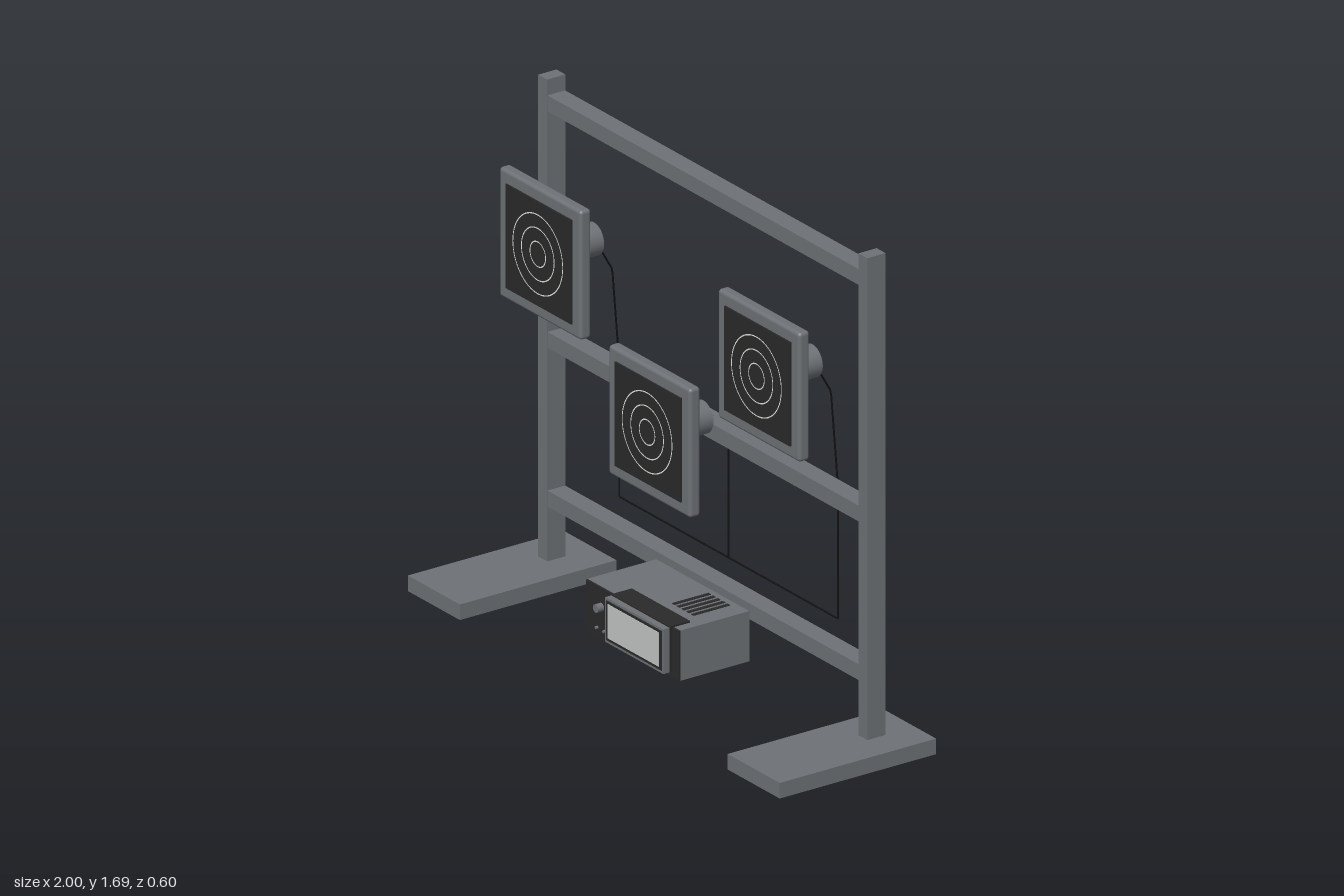
import * as THREE from 'three';
import { RoundedBoxGeometry } from 'three/addons/geometries/RoundedBoxGeometry.js';

const mat = (name, color) => {
  const m = new THREE.MeshStandardMaterial({ color });
  m.name = name;
  return m;
};

export function createModel() {
  const grey = mat('grey metal', 0x6e7276);
  const black = mat('black plastic', 0x2a2a2a);
  const cableBlack = mat('cable black', 0x111111);
  const light = mat('screen grey', 0xc2c4c4);
  const white = mat('ring white', 0xe4e4dc);

  const model = new THREE.Group();
  model.name = 'speakerStand';

  const add = (parent, name, geometry, material, x = 0, y = 0, z = 0) => {
    const mesh = new THREE.Mesh(geometry, material);
    mesh.name = name;
    mesh.position.set(x, y, z);
    parent.add(mesh);
    return mesh;
  };
  // box given by its limits on each axis
  const box = (parent, name, material, x0, x1, y0, y1, z0, z1) =>
    add(parent, name, new THREE.BoxGeometry(x1 - x0, y1 - y0, z1 - z0), material,
      (x0 + x1) / 2, (y0 + y1) / 2, (z0 + z1) / 2);
  // cylinder lying along z
  const rod = (parent, name, material, r, x, y, z0, z1) =>
    add(parent, name, new THREE.CylinderGeometry(r, r, z1 - z0, 32).rotateX(Math.PI / 2),
      material, x, y, (z0 + z1) / 2);

  // Frame: feet, posts and three cross rails
  const frame = new THREE.Group();
  frame.name = 'frame';
  model.add(frame);
  for (const s of [-1, 1]) {
    add(frame, 'foot', new THREE.BoxGeometry(0.28, 0.053, 0.6), grey, s * 0.86, 0.0265, 0);
    add(frame, 'post', new THREE.BoxGeometry(0.048, 1.64, 0.07), grey, s * 0.861, 0.873, -0.153);
  }
  for (const y of [0.267, 0.807, 1.612])
    add(frame, 'rail', new THREE.BoxGeometry(1.676, 0.054, 0.068), grey, 0, y, -0.153);

  // Flat square speakers with a stepped driver behind
  const busY = 0.337, busZ = -0.217;
  const tube = (name, pts) => {
    const path = new THREE.CurvePath();
    for (let i = 1; i < pts.length; i++)
      path.add(new THREE.LineCurve3(new THREE.Vector3(...pts[i - 1]), new THREE.Vector3(...pts[i])));
    add(model, name, new THREE.TubeGeometry(path, 48, 0.003, 6), cableBlack);
  };
  for (const [x, y, sag] of [[-0.588, 1.24, 0.45], [0, 0.842, 0.07], [0.588, 1.24, 0.45]]) {
    const speaker = new THREE.Group();
    speaker.name = 'speaker';
    speaker.position.set(x, y, 0);
    model.add(speaker);
    add(speaker, 'panelFrame', new RoundedBoxGeometry(0.44, 0.44, 0.042, 3, 0.012), grey, 0, 0, 0.067);
    box(speaker, 'grille', black, -0.177, 0.177, -0.177, 0.177, 0.086, 0.094);
    for (const r of [0.042, 0.088, 0.134])
      add(speaker, 'ring', new THREE.RingGeometry(r - 0.002, r + 0.002, 64), white, 0, 0, 0.0955);
    rod(speaker, 'driverCollar', black, 0.069, 0, 0, -0.04, 0.047);
    rod(speaker, 'driverBody', grey, 0.055, 0, 0, -0.12, -0.04);
    // Cable drooping from the driver to the shared run
    tube('cable', [[x, y, -0.12], [x, y - sag * 0.27, -0.19], [x, y - sag, busZ], [x, busY, busZ]]);
  }
  tube('cableRun', [[-0.588, busY, busZ], [0.588, busY, busZ]]);

  // Amplifier under the lowest rail
  const amp = new THREE.Group();
  amp.name = 'amplifier';
  model.add(amp);
  box(amp, 'ampBody', grey, -0.25, 0.25, 0.097, 0.268, -0.118, 0.145);
  box(amp, 'frontPlate', black, -0.249, 0.249, 0.098, 0.267, 0.145, 0.152);
  box(amp, 'screenHousing', black, -0.097, 0.216, 0.118, 0.274, 0.085, 0.164);
  box(amp, 'screenBezel', grey, -0.097, 0.216, 0.118, 0.27, 0.164, 0.187);
  box(amp, 'screenBorder', black, -0.089, 0.208, 0.127, 0.262, 0.186, 0.189);
  box(amp, 'screen', light, -0.08, 0.196, 0.137, 0.253, 0.187, 0.191);
  box(amp, 'rearPanel', light, -0.13, 0.14, 0.137, 0.235, -0.121, -0.117);
  for (let i = 0; i < 5; i++) {
    const x = 0.069 + i * 0.026;
    box(amp, 'vent', black, x - 0.007, x + 0.007, 0.267, 0.27, -0.095, 0.045);
  }
  // Dial and small buttons
  rod(amp, 'dial', grey, 0.014, -0.166, 0.203, 0.15, 0.175);
  for (const x of [-0.187, -0.147])
    rod(amp, 'button', grey, 0.005, x, 0.127, 0.15, 0.16);
  // Rubber feet
  for (const x of [-0.175, 0.175])
    for (const z of [-0.09, 0.092])
      box(amp, 'rubberFoot', black, x - 0.012, x + 0.012, 0.085, 0.098, z - 0.012, z + 0.012);

  return model;
}
